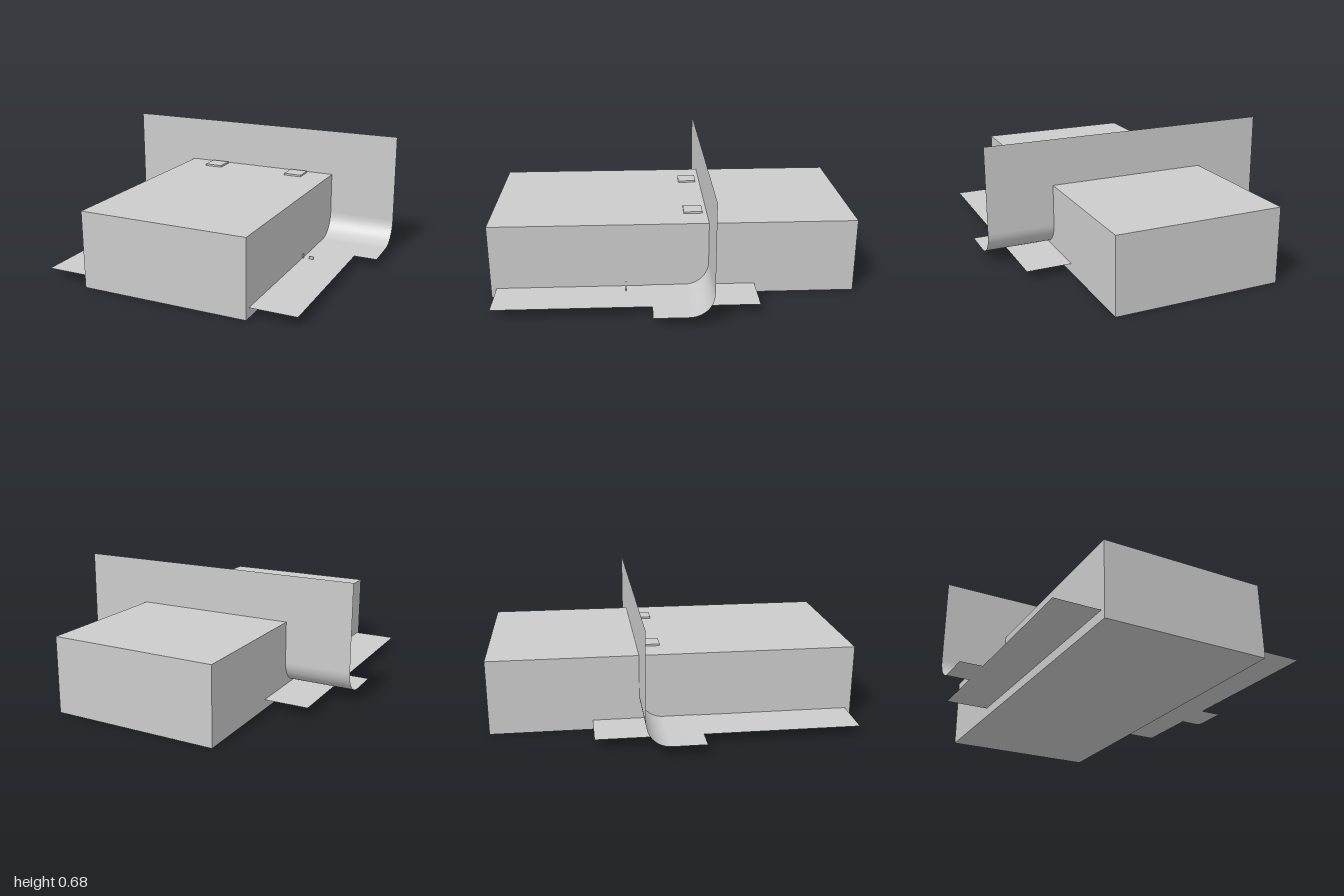
import * as THREE from 'three';

export function createModel() {
  const model = new THREE.Group();
  const solid = new THREE.MeshStandardMaterial({ color: 0xcccccc });
  const sheet = new THREE.MeshStandardMaterial({ color: 0xcccccc, side: THREE.DoubleSide });

  const add = (name, geometry, material) => {
    const mesh = new THREE.Mesh(geometry, material);
    mesh.name = name;
    model.add(mesh);
    return mesh;
  };
  // box given by its lower and upper corners
  const box = (name, [x0, y0, z0], [x1, y1, z1]) =>
    add(name, new THREE.BoxGeometry(x1 - x0, y1 - y0, z1 - z0), solid)
      .position.set((x0 + x1) / 2, (y0 + y1) / 2, (z0 + z1) / 2);

  // main block
  box('body', [-0.46, 0, -1], [0.457, 0.416, 1]);

  // two small pads on top of the block
  box('rightPad', [-0.313, 0.405, -0.166], [-0.209, 0.426, -0.062]);
  box('leftPad', [0.205, 0.405, -0.166], [0.309, 0.426, -0.062]);

  // flat sheet passing through the block
  const base = new THREE.PlaneGeometry(1.412, 1.415).rotateX(-Math.PI / 2);
  add('baseSheet', base, sheet).position.set(0, 0.054, 0.2625);

  // upright sheet that curves forward into a short floor
  const top = 0.675, floor = 0.056, back = -0.19, front = 0.125, r = 0.13, steps = 24;
  const profile = [[top, back]];
  for (let i = 0; i <= steps; i++) {
    const a = (i / steps) * Math.PI / 2;
    profile.push([floor + r * (1 - Math.sin(a)), back + r * (1 - Math.cos(a))]);
  }
  profile.push([floor, front]);
  const curved = new THREE.PlaneGeometry(1.668, 1, 1, profile.length - 1);
  const pos = curved.attributes.position;
  for (let i = 0; i < pos.count; i++) {
    const [y, z] = profile[Math.floor(i / 2)];
    pos.setXYZ(i, pos.getX(i), y, z);
  }
  curved.computeVertexNormals();
  add('curvedBackSheet', curved, sheet);

  // tiny tabs beside the block
  box('innerTab', [0.45, 0.05, 0.261], [0.463, 0.078, 0.266]);
  box('outerTab', [0.493, 0.053, 0.261], [0.518, 0.07, 0.266]);

  return model;
}
